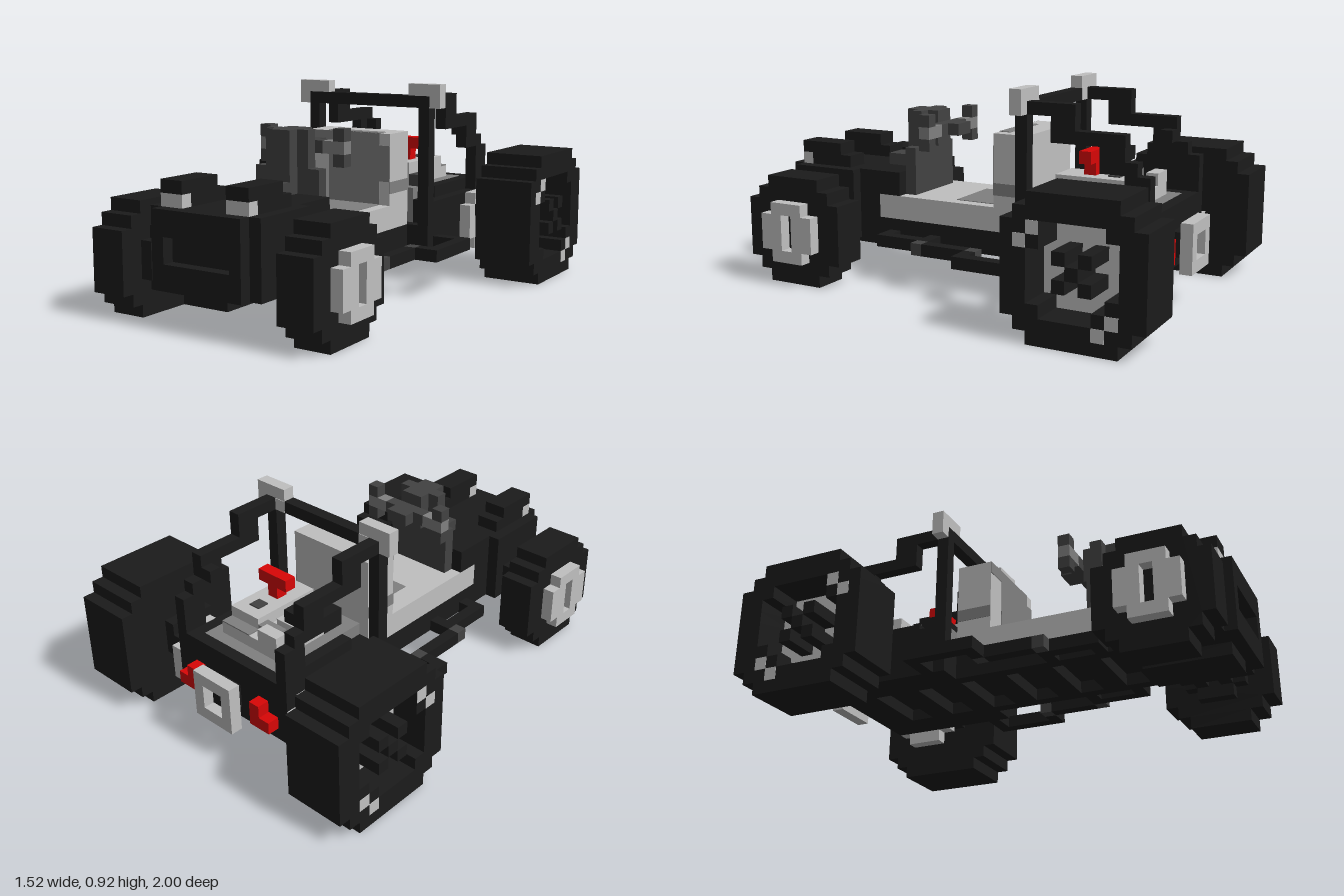
import * as THREE from 'three';

const U = 2 / 37; // one block
const mat = (name, color) => { const m = new THREE.MeshStandardMaterial({ color }); m.name = name; return m; };

export function createModel() {
  const black = mat('black', 0x1b1b1b), dark = mat('dark grey', 0x424242), mid = mat('mid grey', 0x808080);
  const light = mat('light grey', 0xc0c0c0), red = mat('red', 0xd80606);
  const model = new THREE.Group();
  model.name = 'buggy';
  model.scale.setScalar(U);

  // Box by limits, in blocks
  const box = (name, m, x0, x1, y0, y1, z0, z1) => {
    const b = new THREE.Mesh(new THREE.BoxGeometry(x1 - x0, y1 - y0, z1 - z0), m);
    b.position.set((x0 + x1) / 2, (y0 + y1) / 2, (z0 + z1) / 2);
    b.name = name;
    model.add(b);
  };
  // Same box on both sides
  const pair = (name, m, x0, x1, ...r) => {
    box(name + 'Left', m, x0, x1, ...r);
    box(name + 'Right', m, -x1, -x0, ...r);
  };
  // Stepped disc outline from the half width of each row
  const outline = (rows) => {
    const right = [];
    rows.forEach((w, i) => right.push([w, i - rows.length / 2], [w, i + 1 - rows.length / 2]));
    const left = right.map(([a, b]) => [-a, b]).reverse();
    return [...right, ...left].map(([a, b]) => new THREE.Vector2(a, b));
  };
  const disc = (name, m, rows, holes, x0, x1, y, z) => {
    const shape = new THREE.Shape(outline(rows));
    holes.forEach((h) => shape.holes.push(new THREE.Path(h)));
    const geo = new THREE.ExtrudeGeometry(shape, { depth: x1 - x0, bevelEnabled: false });
    geo.rotateY(Math.PI / 2);
    const d = new THREE.Mesh(geo, m);
    d.position.set(x0, y, z);
    d.name = name;
    model.add(d);
  };
  const discPair = (name, m, rows, holes, x0, x1, y, z) => {
    disc(name + 'Left', m, rows, holes, x0, x1, y, z);
    disc(name + 'Right', m, rows, holes, -x1, -x0, y, z);
  };

  // Front wheels
  const hub5 = [1.5, 2.5, 2.5, 2.5, 1.5];
  discPair('frontTyre', black, [2.5, 3.5, 4.5, 4.5, 4.5, 4.5, 4.5, 3.5, 2.5], [], 7, 10, 4.5, 14);
  discPair('frontHubCap', light, hub5, [outline([0.5, 0.5, 0.5])], 10, 11, 4.5, 14);
  discPair('frontBrake', black, hub5, [], 6, 7, 4.5, 14);
  for (const z of [12.5, 14.5]) {
    pair('frontUpperArm', black, 4, 6, 5, 6, z, z + 1);
    pair('frontLowerArm', black, 4, 6, 3, 4, z, z + 1);
  }

  // Rear wheels with sunken hubs and full-length bolts
  const tyre = [3.5, 4.5, 5.5, 5.5, 5.5, 5.5, 5.5, 5.5, 5.5, 4.5, 3.5];
  const hub7 = [2.5, 3.5, 3.5, 3.5, 3.5, 3.5, 2.5];
  discPair('rearTyre', black, tyre, [outline(hub7)], 10, 14, 5.5, -13);
  discPair('rearTyreInner', black, tyre, [], 9, 10, 5.5, -13);
  discPair('rearHub', light, hub7, [], 10, 11, 5.5, -13);
  const bolts = [[5, -13.5], [6, -12.5], [6, -14.5], [4, -12.5], [4, -14.5], [7, -10.5], [2, -15.5], [3, -16.5]];
  for (const [y, z] of bolts) pair('hubBolt', black, 11, 14, y, y + 1, z, z + 1);
  for (const [y, z] of [[7, -9.5], [8, -10.5], [1, -15.5], [2, -16.5]])
    pair('rimChip', light, 14, 14.03, y, y + 1, z, z + 1);
  discPair('rearBrake', light, hub5, [], 6, 7, 4.5, -13);
  pair('rearHubCarrier', black, 8, 9, 4, 7, -14.5, -10.5);
  for (const z of [-14.5, -12.5]) pair('rearArm', black, 6, 8, 5, 6, z, z + 1);

  // Chassis ladder: deck, long rails and cross ribs
  box('chassisDeck', black, -4, 4, 4, 5, -15.5, 17.5);
  pair('chassisRail', black, 3, 4, 3, 4, -15.5, 17.5);
  for (let z = -14.5; z < 10; z += 4) box('chassisRib', black, -3, 3, 3, 4, z, z + 2);
  box('nosePan', black, -3, 3, 3, 4, 10.5, 17.5);

  // Nose
  box('hood', black, -4, 4, 7, 9, 7.5, 17.5);
  box('noseCore', black, -4, 4, 5, 7, 9.5, 17.5);
  pair('noseSide', black, 4, 5, 3, 9, 11.5, 17.5);
  box('grilleTop', black, -4, 4, 7, 9, 17.5, 18.5);
  box('grilleBottom', black, -4, 4, 3, 5, 17.5, 18.5);
  pair('grilleSide', black, 3, 4, 5, 7, 17.5, 18.5);
  box('skidPlate', black, -2, 2, 2, 3, 10.5, 17.5);
  pair('headlight', light, 2, 4, 9, 10, 16.5, 17.5);
  pair('headlightHousing', black, 2, 4, 9, 10, 12.5, 16.5);
  pair('headlightCover', black, 2, 4, 10, 11, 13.5, 17.5);

  // Side rails
  const rails = [[8, 9, -6.5, -0.5], [5, 8, -6.5, -5.5], [7, 8, -1.5, -0.5], [6, 7, -0.5, 3.5],
    [4, 6, 3.5, 4.5], [5, 6, 4.5, 8.5], [4, 5, 7.5, 8.5]];
  rails.forEach(([x0, x1, z0, z1]) => pair('sideRail', black, x0, x1, 3, 4, z0, z1));
  for (const z of [-1.5, 3.5]) pair('railJoint', dark, 6, 7, 3, 4, z, z + 1);

  // Cockpit tub and seat
  box('tub', light, -4, 4, 5, 7, -4.5, 9.5);
  box('seatBack', light, -4, 4, 7, 13, -4.5, -1.5);
  box('seatCushion', mid, -2, 3, 7, 7.05, -1.5, 2.5);
  box('backCushion', mid, -2, 3, 7, 13, -1.5, -1.45);
  box('backCushionEdge', mid, 3, 4, 9, 12, -1.5, -1.45);
  box('shoulderPatch', mid, -4, -2, 12, 13, -1.5, -1.45);
  box('headrestPatch', mid, -2, 3, 13, 13.05, -2.5, -1.5);
  pair('seatSideStripe', mid, 4, 4.05, 8, 9, -4.5, -1.5);

  // Steering column, dash and grips
  box('columnBase', dark, -1, 1, 9, 10, 7.5, 10.5);
  box('columnTop', dark, -1, 1, 10, 11, 7.5, 8.5);
  box('dashFoot', dark, -3, 3, 7, 11, 6.5, 7.5);
  box('dash', dark, -2, 2, 11, 14, 6.5, 7.5);
  box('dashFront', dark, -1, 1, 11, 14, 7.5, 8.5);
  box('dashBack', dark, -1, 1, 11, 14, 5.5, 6.5);
  box('steeringCore', dark, -2, 2, 12, 13, 4.5, 5.5);
  pair('steeringSpoke', mid, 2, 4, 12, 13, 4.5, 5.5);
  pair('steeringGripTop', dark, 3, 4, 13, 14, 4.5, 5.5);
  pair('steeringGripBottom', dark, 3, 4, 11, 12, 4.5, 5.5);
  box('steeringHub', dark, -1, 1, 12, 13, 3.5, 4.5);

  // Roll cage
  pair('hoopPost', black, 5, 6, 3, 15, -5.5, -4.5);
  box('hoopTop', black, -6, 6, 15, 16, -5.5, -4.5);
  box('hoopFoot', black, -5, 5, 3, 5, -5.5, -4.5);
  pair('roofLampTop', light, 4, 7, 16, 17, -5.5, -4.5);
  pair('roofLampSide', light, 6, 7, 15, 16, -5.5, -4.5);
  pair('roofLampInside', light, 4, 5, 15, 16, -5.55, -5.5);
  const cage = [[15, 16, -9.5, -5.5], [14, 15, -9.5, -7.5], [13, 14, -13.5, -7.5],
    [12, 13, -13.5, -11.5], [11, 12, -14.5, -11.5], [7, 11, -15.5, -13.5]];
  cage.forEach(([y0, y1, z0, z1]) => pair('cageBar', black, 5, 6, y0, y1, z0, z1));
  pair('cageBracket', black, 4, 5, 12, 13, -13.5, -12.5);

  // Rear bed
  pair('bedSide', black, 4, 6, 3, 7, -15.5, -5.5);
  pair('bedEdge', black, 4, 5, 7, 8, -14.5, -7.5);
  box('bedBack', black, -6, 6, 3, 8, -15.5, -14.5);
  box('bedFloor', mid, -4, 4, 5, 8, -14.5, -5.5);

  // Engine
  box('engineBlock', light, -3, 3, 8, 9, -13.5, -8.5);
  box('engineHead', light, 0, 3, 9, 10, -12.5, -8.5);
  box('engineFront', light, 0, 3, 8, 10, -8.5, -6.5);
  for (const z of [-13.5, -11.5]) box('engineCylinder', light, -3, -1, 9, 10, z, z + 1);
  box('engineSpacer', mid, -2, 0, 9, 9.5, -12.5, -11.5);
  box('engineRearPlate', mid, 0, 3, 9, 9.1, -13.5, -12.5);
  box('enginePort', dark, 1, 2, 10, 10.1, -11.5, -10.5);
  box('battery', black, -3, 0, 8, 9.5, -8.5, -6.5);
  box('batteryPost', dark, 3, 4, 8, 9, -8.5, -6.5);
  box('airCapStem', red, 1, 2, 10, 11, -9.5, -8.5);
  box('airCap', red, 0, 3, 11, 12, -9.5, -8.5);

  // Tail plate and lights
  box('tailMount', black, -1, 1, 4, 6, -16.6, -15.5);
  box('tailPlateTop', light, -2, 2, 6, 7, -17.5, -16.5);
  box('tailPlateBottom', light, -2, 2, 3, 4, -17.5, -16.5);
  pair('tailPlateSide', light, 1, 2, 4, 6, -17.5, -16.5);
  pair('tailLight', red, 3, 4, 4, 6, -16.5, -15.5);
  pair('tailLightFoot', red, 4, 5, 4, 5, -16.5, -15.5);

  const root = new THREE.Group();
  root.add(model);
  return root;
}
